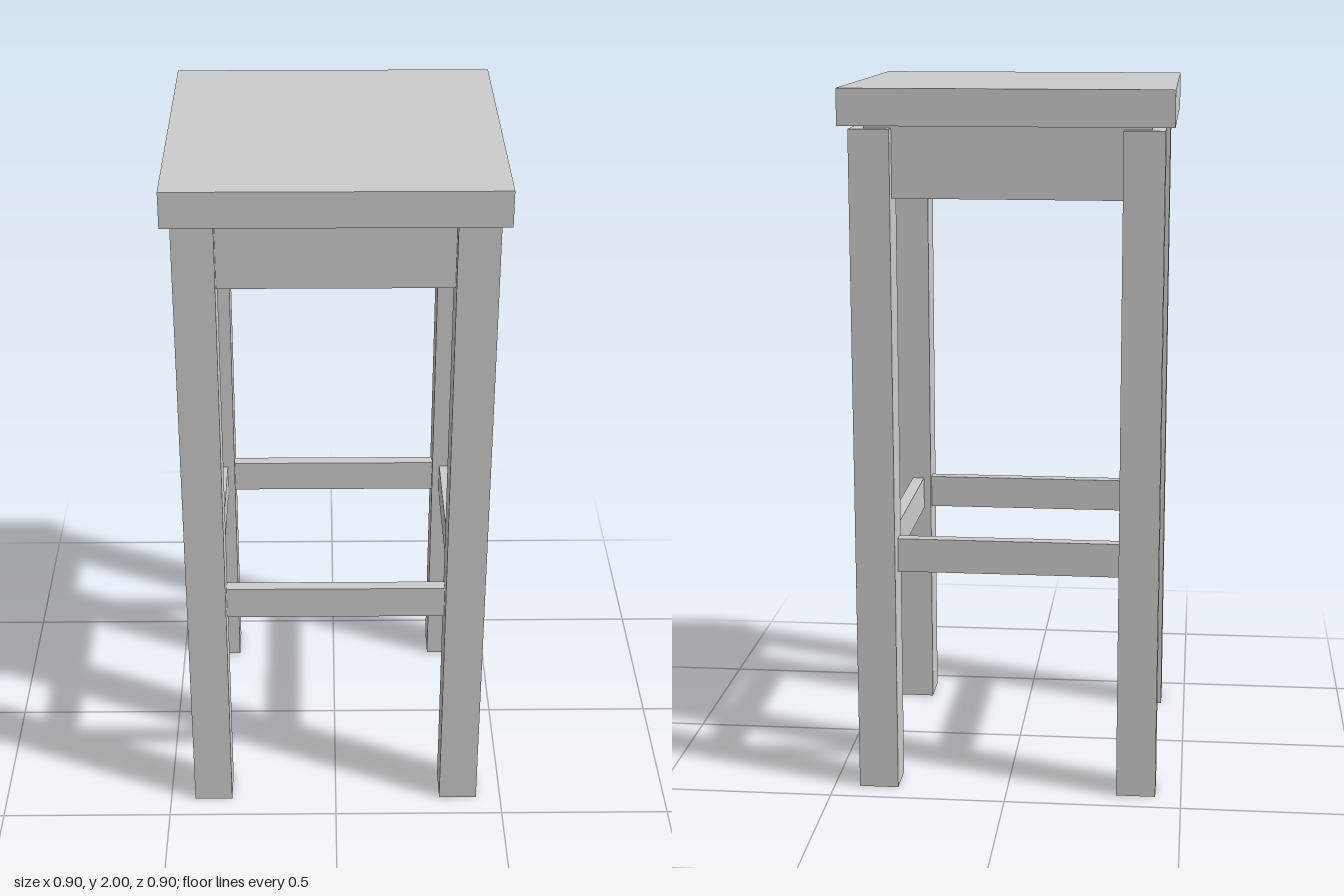
import * as THREE from 'three';

const material = new THREE.MeshStandardMaterial({ color: 0xcccccc, flatShading: true });

// Box given by its size, its bottom height and its centre in x and z
function box(name, w, h, d, bottom, x = 0, z = 0) {
  const mesh = new THREE.Mesh(new THREE.BoxGeometry(w, h, d), material);
  mesh.name = name;
  mesh.position.set(x, bottom + h / 2, z);
  return mesh;
}

export function createModel() {
  const stool = new THREE.Group();
  stool.name = 'barStool';

  // Seat slab and the solid apron block beneath it
  stool.add(box('seat', 0.905, 0.1, 0.905, 1.9));
  stool.add(box('apron', 0.78, 0.2, 0.78, 1.7));

  // Square legs; three stop just short of the seat
  const legWidth = 0.112, legPos = 0.371;
  for (const sx of [-1, 1]) {
    for (const sz of [-1, 1]) {
      const name = (sz > 0 ? 'front' : 'back') + (sx > 0 ? 'Left' : 'Right') + 'Leg';
      const height = sx < 0 && sz > 0 ? 1.9 : 1.89;
      stool.add(box(name, legWidth, height, legWidth, 0, sx * legPos, sz * legPos));
    }
  }

  // Thin foot rails between the legs
  const span = 0.632, railHeight = 0.097, thick = 0.035, railPos = 0.354;
  for (const s of [-1, 1]) {
    stool.add(box(s > 0 ? 'frontRail' : 'backRail', span, railHeight, thick, 0.635, 0, s * railPos));
    stool.add(box(s > 0 ? 'leftRail' : 'rightRail', thick, railHeight, span, 0.635, s * railPos, 0));
  }
  return stool;
}
